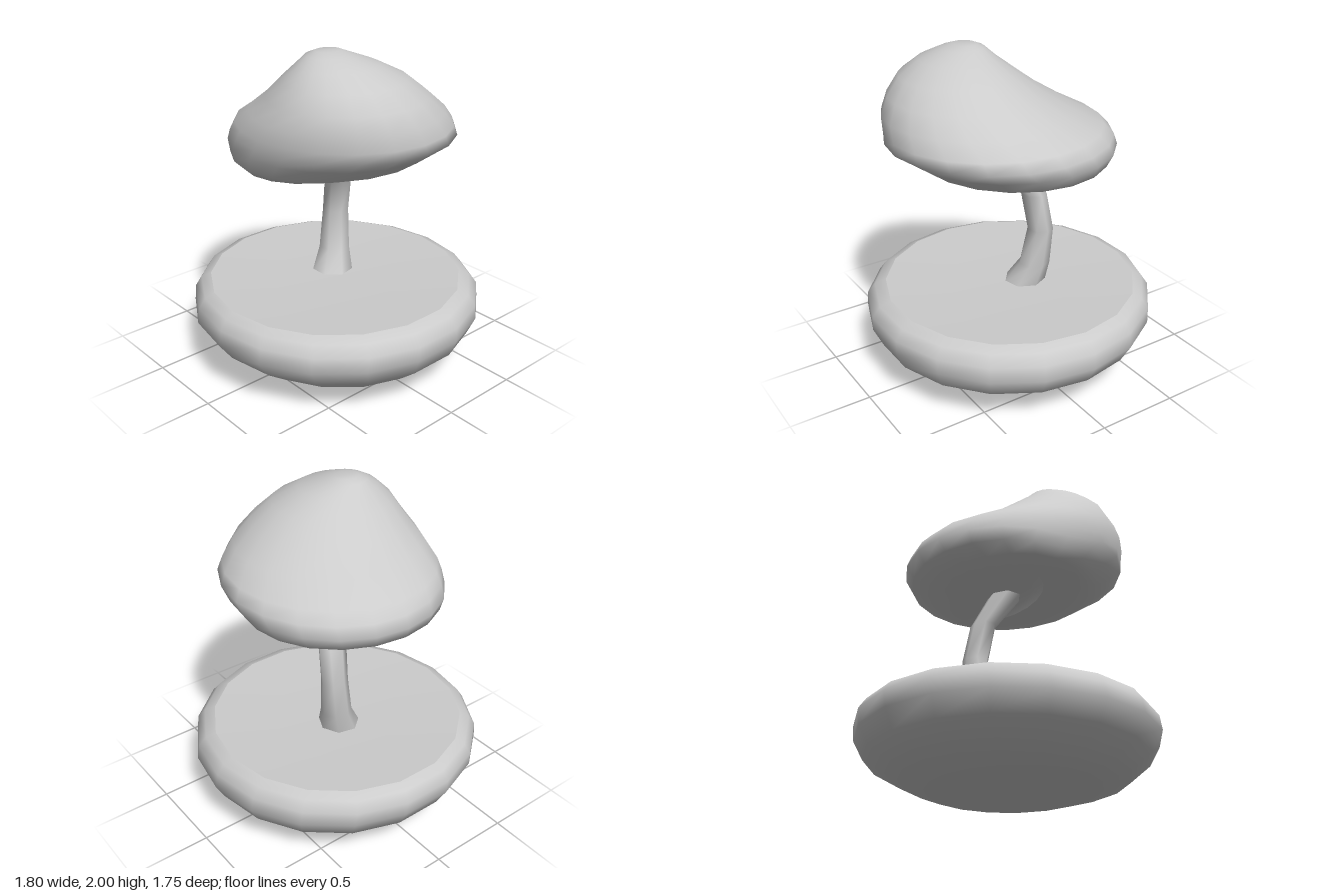
import * as THREE from 'three';

const material = new THREE.MeshStandardMaterial({ color: 0xcccccc });

// Skins a stack of oval rings [y, xMin, xMax, zMin, zMax], listed along the surface.
// A ring given twice makes a crease; a ring of zero width closes the end.
function loft(name, rings, sides) {
  const positions = [], index = [];
  for (const [y, x0, x1, z0, z1] of rings) {
    for (let i = 0; i < sides; i++) {
      const a = (i / sides) * Math.PI * 2;
      positions.push(
        (x0 + x1) / 2 + ((x1 - x0) / 2) * Math.cos(a),
        y,
        (z0 + z1) / 2 + ((z1 - z0) / 2) * Math.sin(a)
      );
    }
  }
  for (let r = 0; r < rings.length - 1; r++) {
    for (let i = 0; i < sides; i++) {
      const a = r * sides + i, b = r * sides + ((i + 1) % sides);
      index.push(a, a + sides, b, b, a + sides, b + sides);
    }
  }
  const geometry = new THREE.BufferGeometry();
  geometry.setAttribute('position', new THREE.Float32BufferAttribute(positions, 3));
  geometry.setIndex(index);
  geometry.computeVertexNormals();
  const mesh = new THREE.Mesh(geometry, material);
  mesh.name = name;
  return mesh;
}

export function createModel() {
  const group = new THREE.Group();
  group.name = 'floatingIslandTree';

  // Round island: bowl-shaped underside, rounded rim, flat creased top
  const islandTop = [0.525, -0.78, 0.78, -0.79, 0.77];
  group.add(loft('island', [
    [0, 0, 0, 0.1, 0.1],
    [0.035, -0.32, 0.32, -0.33, 0.33],
    [0.08, -0.54, 0.52, -0.5, 0.53],
    [0.14, -0.68, 0.67, -0.66, 0.72],
    [0.24, -0.82, 0.84, -0.82, 0.84],
    [0.35, -0.9, 0.9, -0.88, 0.89],
    [0.44, -0.88, 0.885, -0.89, 0.89],
    [0.5, -0.84, 0.84, -0.85, 0.84],
    islandTop, islandTop,
    [0.51, -0.4, 0.4, -0.4, 0.4],
    [0.51, 0, 0, 0, 0],
  ], 18));

  // Bent trunk, flared at the foot and leaning into the crown
  group.add(loft('trunk', [
    [0.49, -0.09, 0.17, -0.22, 0.05],
    [0.64, 0, 0.19, -0.225, -0.03],
    [0.88, 0.04, 0.21, -0.225, -0.07],
    [1.12, 0.02, 0.2, -0.18, -0.03],
    [1.36, -0.1, 0.14, -0.08, 0.13],
  ], 7));

  // Lopsided crown, peaking toward the front on the -x side
  const crownBase = [1.27, -0.4, 0.36, -0.34, 0.14];
  group.add(loft('crown', [
    [1.32, 0, 0, 0, 0],
    [1.315, -0.22, 0.2, -0.18, 0.12],
    crownBase, crownBase,
    [1.3, -0.57, 0.45, -0.46, 0.36],
    [1.35, -0.62, 0.58, -0.6, 0.53],
    [1.43, -0.635, 0.63, -0.64, 0.64],
    [1.5, -0.645, 0.64, -0.615, 0.74],
    [1.56, -0.64, 0.6, -0.56, 0.735],
    [1.65, -0.625, 0.49, -0.39, 0.725],
    [1.75, -0.575, 0.35, -0.23, 0.67],
    [1.85, -0.52, 0.21, -0.1, 0.58],
    [1.93, -0.43, 0.05, 0, 0.45],
    [1.98, -0.34, -0.08, 0.05, 0.31],
    [2, -0.28, -0.13, 0.1, 0.23],
    [2, -0.2, -0.2, 0.16, 0.16],
  ], 20));

  return group;
}
